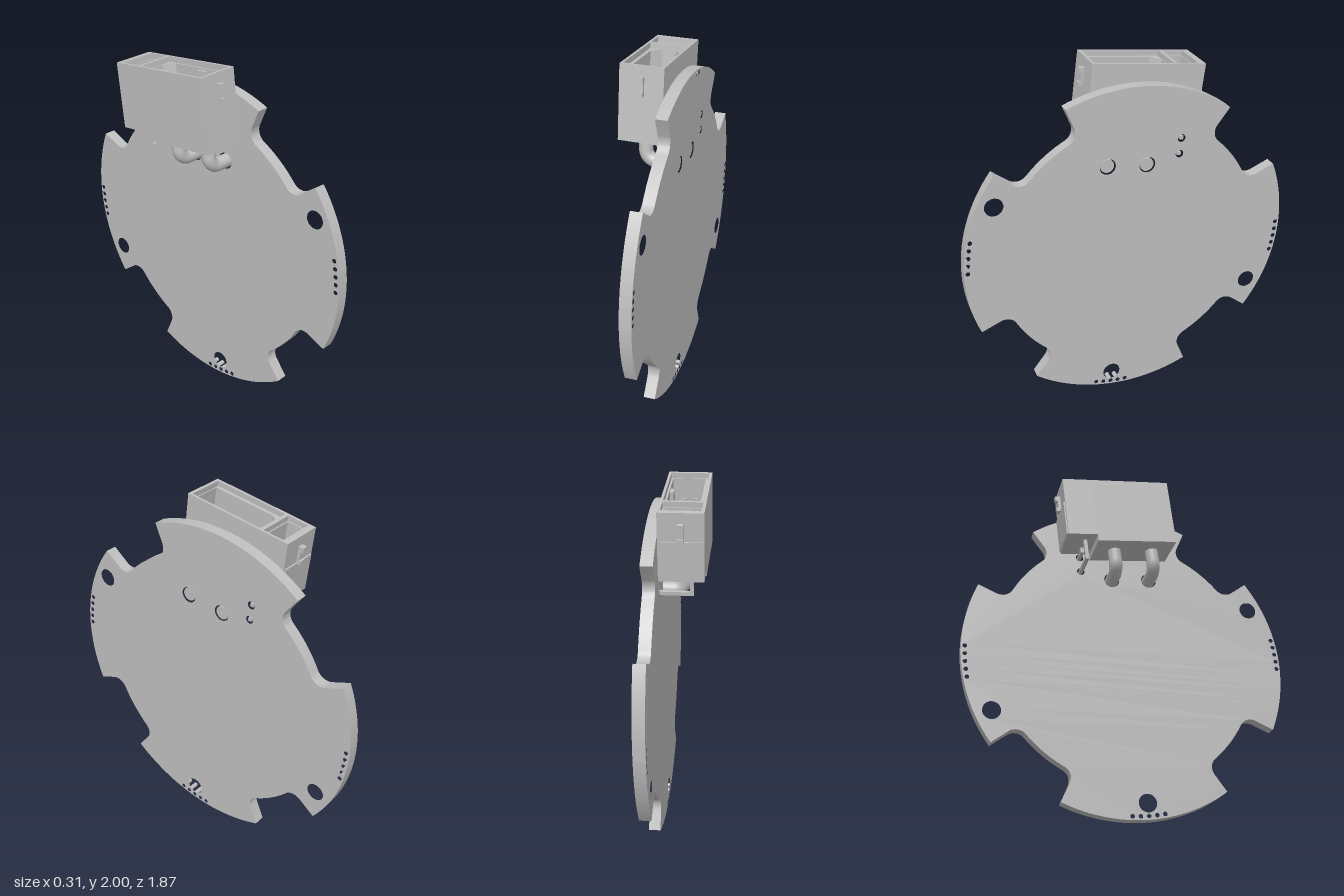
import * as THREE from 'three';
import { toCreasedNormals } from 'three/addons/utils/BufferGeometryUtils.js';

const grey = new THREE.MeshStandardMaterial({ color: 0xbfbfbf });
grey.name = 'plain grey';

const CY = 0.938, R = 0.937, FLOOR = 0.755, FILLET = 0.07;
const rad = THREE.MathUtils.degToRad;

function add(parent, name, geometry) {
  const mesh = new THREE.Mesh(geometry, grey);
  mesh.name = name;
  parent.add(mesh);
  return mesh;
}

// Box given by its lower and upper corner
function box(parent, name, [x0, y0, z0], [x1, y1, z1]) {
  const g = new THREE.BoxGeometry(x1 - x0, y1 - y0, z1 - z0);
  g.translate((x0 + x1) / 2, (y0 + y1) / 2, (z0 + z1) / 2);
  return add(parent, name, g);
}

// Upright prism from a plan drawn in (x, -z)
function prism(parent, name, shape, y0, y1) {
  const g = new THREE.ExtrudeGeometry(shape, { depth: y1 - y0, bevelEnabled: false, curveSegments: 10 });
  g.rotateX(-Math.PI / 2).translate(0, y0, 0);
  return add(parent, name, toCreasedNormals(g, 0.5));
}

function rect(x0, x1, s0, s1, cut = 0) {
  const pts = [[x0, s0], [x1, s0], [x1, s1 - cut], [x1 - cut, s1], [x0 + cut, s1], [x0, s1 - cut]];
  return new THREE.Shape((cut ? pts : [[x0, s0], [x1, s0], [x1, s1], [x0, s1]])
    .map(([x, y]) => new THREE.Vector2(x, y)));
}

// Round board with four filleted notches and drilled holes
function createBoard(parent) {
  const pts = [];
  const polar = (r, deg) => new THREE.Vector2(-r * Math.cos(rad(deg)), CY + r * Math.sin(rad(deg)));
  const arc = (r, a, b, n) => {
    for (let i = 0; i <= n; i++) pts.push(polar(r, a + (b - a) * i / n));
  };
  const half = 15.1;
  const fr = FLOOR + FILLET;
  const offset = THREE.MathUtils.radToDeg(Math.asin(FILLET / fr));
  // Fillet around a centre, from the notch side to the notch floor
  const fillet = (edge, side) => {
    const c = edge + side * offset, list = [];
    for (let i = 0; i <= 10; i++) {
      const start = c - side * (90 + offset) + side * 2 * offset;
      const from = edge - side * 90, to = c - side * 180;
      const a = rad(from + (to - from) * i / 10);
      const p = polar(fr, c);
      list.push(new THREE.Vector2(p.x - FILLET * Math.cos(a), p.y + FILLET * Math.sin(a)));
    }
    return list;
  };
  for (let k = 0; k < 4; k++) {
    const mid = 52.75 + 90 * k, a = mid - half, b = mid + half;
    pts.push(polar(R, a), ...fillet(a, 1));
    arc(FLOOR, a + offset + 0.5, b - offset - 0.5, 10);
    pts.push(...fillet(b, -1).reverse());
    arc(R, b, a + 90 - 0.5, 30);
  }
  const shape = new THREE.Shape(pts);
  const hole = (z, y, r) => shape.holes.push(new THREE.Path().absarc(-z, y, r, 0, Math.PI * 2, true));
  [[0.752, 1.335], [-0.747, 0.546], [0.117, 0.1]].forEach(([z, y]) => hole(z, y, 0.051));
  [[0.13, 1.452], [-0.095, 1.425]].forEach(([z, y]) => hole(z, y, 0.045));
  [[-0.291, 1.547], [-0.281, 1.457]].forEach(([z, y]) => hole(z, y, 0.022));
  // Four rows of five small holes along the rim
  for (let k = 0; k < 4; k++) for (let i = 0; i < 5; i++) {
    const p = polar(0.916, 2 + 90 * k + 2.87 * i);
    hole(-p.x, p.y, 0.0125);
  }
  const g = new THREE.ExtrudeGeometry(shape, { depth: 0.065, bevelEnabled: false, curveSegments: 12 });
  g.rotateY(Math.PI / 2).translate(0.085, 0, 0);
  add(parent, 'board', toCreasedNormals(g, 0.5));
}

// Tilted connector: local origin is the front top edge, z runs back as negative
function createConnector(parent) {
  const c = new THREE.Group();
  c.name = 'connector';
  c.position.set(0, 2, 0.18);
  c.rotation.x = -0.13;
  parent.add(c);
  const X0 = -0.155, X1 = 0.08, MX = -0.037, SPLIT = 0.467, END = 0.637;

  // Rim with two rectangular openings
  const rim = rect(X0, X1, 0, END);
  rim.holes.push(rect(-0.14, 0.066, 0.018, 0.457), rect(-0.14, 0.066, 0.478, 0.6));
  prism(c, 'housingRim', rim, -0.03, 0);

  // Power socket walls and floor
  const power = rect(X0, X1, 0, SPLIT);
  power.holes.push(rect(-0.12, 0.056, 0.024, 0.452, 0.05));
  prism(c, 'powerSocket', power, -0.35, -0.03);
  box(c, 'powerSocketFloor', [X0, -0.405, -SPLIT], [X1, -0.35, 0]);
  box(c, 'keyRib', [0.036, -0.34, -0.225], [0.058, -0.04, -0.165]);

  // Signal socket walls and floor
  const signal = rect(X0, X1, SPLIT, END);
  signal.holes.push(rect(-0.132, 0.058, 0.485, 0.594));
  prism(c, 'signalSocket', signal, -0.33, -0.03);
  box(c, 'signalSocketFloor', [X0, -0.365, -END], [X1, -0.33, -SPLIT]);
  box(c, 'backPad', [X0 + 0.01, -0.36, -END - 0.008], [X1 - 0.01, -0.15, -END]);

  // Latch tabs at both ends
  for (const [z, s] of [[0, 1], [-END, -1]]) {
    const tab = (y0, y1, d) => box(c, 'latchTab',
      [MX - 0.015, y0, Math.min(z, z + s * d)], [MX + 0.015, y1, Math.max(z, z + s * d)]);
    tab(-0.085, -0.055, 0.03);
    tab(-0.13, -0.085, 0.016);
    tab(-0.155, -0.13, 0.028);
  }

  // Split power pins with elbowed tails into the board
  for (const z of [-0.12, -0.347]) {
    for (let q = 0; q < 4; q++) {
      const a = q * Math.PI / 2, m = a + Math.PI / 4;
      const s = new THREE.Shape();
      const cx = MX + 0.008 * Math.cos(m), cy = -z + 0.008 * Math.sin(m);
      s.moveTo(cx, cy);
      s.absarc(cx, cy, 0.04, a, a + Math.PI / 2, false);
      prism(c, 'powerPinQuarter', s, -0.35, -0.12);
    }
    const Y = -0.536, B = 0.06, v = (x, y) => new THREE.Vector3(x, y, z);
    const path = new THREE.CurvePath();
    path.add(new THREE.LineCurve3(v(MX, -0.39), v(MX, Y + B)));
    path.add(new THREE.CubicBezierCurve3(v(MX, Y + B), v(MX, Y + B * 0.45), v(MX + B * 0.45, Y), v(MX + B, Y)));
    path.add(new THREE.LineCurve3(v(MX + B, Y), v(0.145, Y)));
    add(c, 'powerPinTail', new THREE.TubeGeometry(path, 40, 0.038, 24));
    add(c, 'powerPinEnd', new THREE.CircleGeometry(0.038, 24).rotateY(Math.PI / 2).translate(0.145, Y, z));
  }

  // Square signal pins, bent towards the board
  for (const [x, y] of [[0.01, -0.388], [-0.083, -0.479]]) {
    const z = -0.527, h = 0.01;
    box(c, 'signalPin', [x - h, y - h, z - h], [x + h, -0.18, z + h]);
    box(c, 'signalPinTail', [x - h, y - h, z - h], [0.148, y + h, z + h]);
  }
}

export function createModel() {
  const model = new THREE.Group();
  model.name = 'boardWithConnector';
  createBoard(model);
  createConnector(model);
  return model;
}
